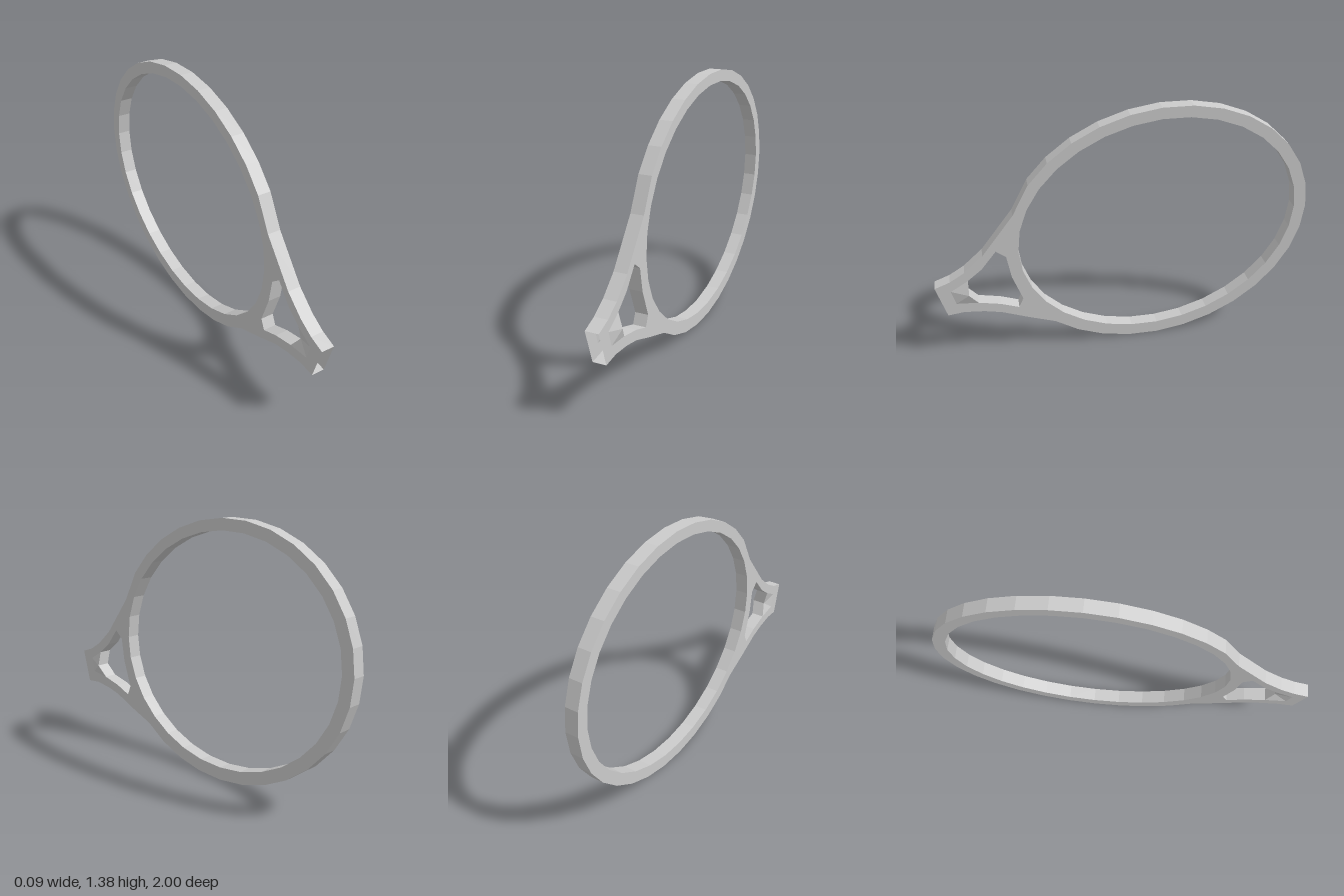
import * as THREE from 'three';

const RIGHT = -0.045, LEFT = 0.025; // x of the two flat sides
const BEND = 0.019;                 // sideways bend at the throat

const material = new THREE.MeshStandardMaterial({
  color: 0xcccccc, flatShading: true, side: THREE.DoubleSide,
});

// Points are [z, y] or [z, y, sideways shift]; the hoop is a skewed 32-sided ellipse
function hoop(a, b, cy, from, to) {
  const pts = [];
  for (let k = from; k <= to; k++) {
    const t = (k / 32) * Math.PI * 2;
    pts.push([-0.1875 + a * Math.cos(t), cy + b * Math.sin(t - 0.084)]);
  }
  return pts;
}

function trianglesMesh(name, triangles) {
  const geo = new THREE.BufferGeometry();
  geo.setAttribute('position', new THREE.Float32BufferAttribute(triangles.flat(2), 3));
  geo.computeVertexNormals();
  const mesh = new THREE.Mesh(geo, material);
  mesh.name = name;
  return mesh;
}

// Strip of quads joining both sides along a line of points
function wall(name, pts, closed) {
  const at = (p, x) => [x + (p[2] || 0), p[1], p[0]];
  const tris = [];
  const n = closed ? pts.length : pts.length - 1;
  for (let i = 0; i < n; i++) {
    const a = pts[i], b = pts[(i + 1) % pts.length];
    tris.push([at(a, LEFT), at(b, LEFT), at(b, RIGHT)], [at(a, LEFT), at(b, RIGHT), at(a, RIGHT)]);
  }
  return trianglesMesh(name, tris);
}

export function createModel() {
  const group = new THREE.Group();
  group.name = 'racketFrame';

  // Outer edge: handle top, round the hoop, back along the handle bottom
  const outline = [
    [1, 0.47], [0.92, 0.5], [0.84, 0.55], [0.74, 0.64], [0.57, 0.86],
    ...hoop(0.8075, 0.69, 0.69, 3, 28),
    [0.53, 0.215], [0.67, 0.27], [0.76, 0.29], [0.865, 0.3], [0.95, 0.29],
  ];
  const headOpening = hoop(0.7425, 0.625, 0.695, 0, 31);

  // Throat opening, with the bent point nearest the handle
  const throat = [
    [0.83, 0.495], [0.75, 0.56], [0.67, 0.66], [0.62, 0.62], [0.6, 0.49],
    [0.55, 0.345], [0.575, 0.29], [0.67, 0.325], [0.785, 0.35],
  ];
  const tip = [0.83, 0.415, BEND];
  const patch = [[0.9, 0.36], [0.92, 0.44]];

  // Flat sides
  const toVectors = (pts) => pts.map(([z, y]) => new THREE.Vector2(-z, y));
  const shape = new THREE.Shape(toVectors(outline));
  shape.holes.push(new THREE.Path(toVectors(headOpening)));
  shape.holes.push(new THREE.Path(toVectors([...throat, ...patch])));
  for (const [name, x] of [['leftSide', LEFT], ['rightSide', RIGHT]]) {
    const geo = new THREE.ShapeGeometry(shape).rotateY(Math.PI / 2).translate(x, 0, 0);
    if (x === RIGHT) {
      geo.index.array.reverse();
      geo.computeVertexNormals();
    }
    const side = new THREE.Mesh(geo, material);
    side.name = name;
    group.add(side);

    // Bent facets beside the throat
    const ring = [throat[throat.length - 1], ...patch, throat[0]];
    const tris = [];
    for (let i = 0; i < 3; i++) {
      const tri = [[x + BEND, tip[1], tip[0]],
        ...[ring[i + 1], ring[i]].map(([z, y]) => [x, y, z])];
      tris.push(x === RIGHT ? tri.reverse() : tri);
    }
    group.add(trianglesMesh(name + 'Bend', tris));
  }

  // Edge walls; the handle end stays open
  group.add(wall('outerEdge', outline, false));
  group.add(wall('headInnerEdge', headOpening.reverse(), true));
  group.add(wall('throatInnerEdge', [...throat, tip].reverse(), true));
  return group;
}
